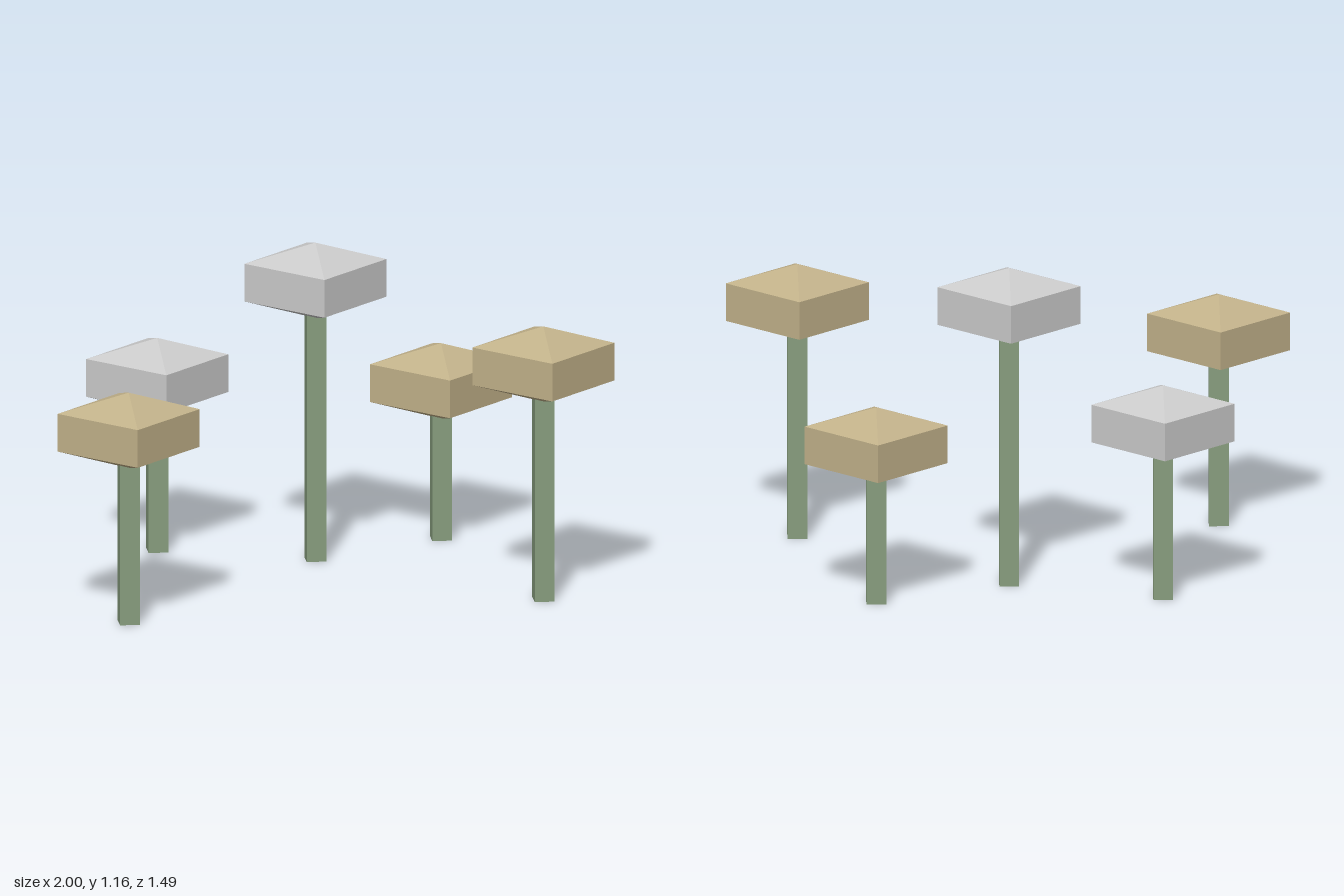
import * as THREE from 'three';

const gold = new THREE.MeshStandardMaterial({ color: 0xc2b28a, flatShading: true });
const grey = new THREE.MeshStandardMaterial({ color: 0xcccccc, flatShading: true });
const green = new THREE.MeshStandardMaterial({ color: 0x869c7c, flatShading: true });

const CAP_HALF_HEIGHT = 0.138;
const CAP_CORNER = 0.253; // centre to corner of the square cap
const STEM_WIDTH = 0.07;

// Four-sided, three-band sphere: a square block with shallow pyramids above and below
const capGeometry = new THREE.SphereGeometry(1, 4, 3);
const capRadius = CAP_CORNER / Math.sin(Math.PI / 3);
capGeometry.scale(capRadius, CAP_HALF_HEIGHT, capRadius);

function createMushroom(x, z, top, capMaterial) {
  const mushroom = new THREE.Group();
  mushroom.name = 'mushroom';
  mushroom.position.set(x, 0, z);

  const capY = top - CAP_HALF_HEIGHT;
  const cap = new THREE.Mesh(capGeometry, capMaterial);
  cap.name = 'cap';
  cap.position.y = capY;

  // Square stem, ending inside the cap
  const stem = new THREE.Mesh(new THREE.BoxGeometry(STEM_WIDTH, capY, STEM_WIDTH), green);
  stem.name = 'stem';
  stem.position.y = capY / 2;

  mushroom.add(stem, cap);
  return mushroom;
}

export function createModel() {
  const model = new THREE.Group();
  model.name = 'mushroomCluster';
  // x, z, top height, cap material
  const mushrooms = [
    [-0.748, 0.49, 0.842, gold],
    [-0.525, -0.461, 0.778, grey],
    [0.014, -0.27, 1.16, grey],
    [0.49, -0.493, 0.715, gold],
    [0.745, 0.366, 1.0, gold],
  ];
  for (const spec of mushrooms) model.add(createMushroom(...spec));
  return model;
}
